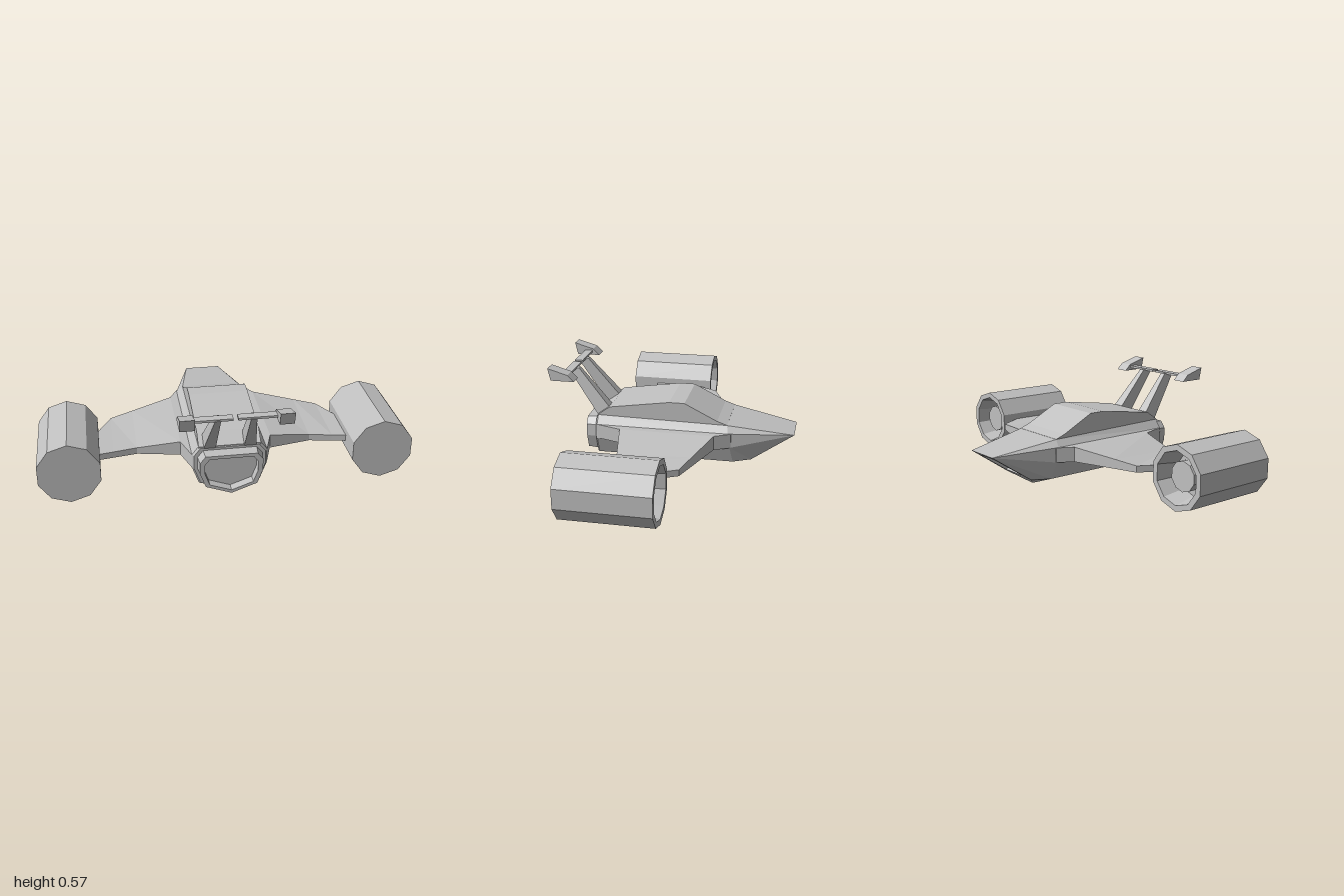
import * as THREE from 'three';

const hullGrey = new THREE.MeshStandardMaterial({ color: 0xc0c0c0 });
hullGrey.name = 'hull grey';
hullGrey.flatShading = true;

// Skins a list of rings; each ring runs counter-clockwise seen from the start.
function loft(rings, capStart = true, capEnd = true) {
  const pos = [];
  const tri = (a, b, c) => {
    const same = (p, q) => p.every((v, i) => v === q[i]);
    if (!same(a, b) && !same(b, c) && !same(a, c)) pos.push(...a, ...b, ...c);
  };
  for (let i = 0; i < rings.length - 1; i++) {
    const A = rings[i], B = rings[i + 1], n = A.length;
    for (let j = 0; j < n; j++) {
      const k = (j + 1) % n;
      tri(A[j], B[j], A[k]);
      tri(A[k], B[j], B[k]);
    }
  }
  const first = rings[0], last = rings[rings.length - 1];
  for (let j = 1; j < first.length - 1; j++) {
    if (capStart) tri(first[0], first[j], first[j + 1]);
    if (capEnd) tri(last[0], last[j + 1], last[j]);
  }
  const g = new THREE.BufferGeometry();
  g.setAttribute('position', new THREE.Float32BufferAttribute(pos, 3));
  g.computeVertexNormals();
  return g;
}

const flip = ([x, y, z]) => [-x, y, z];
const mirrorRings = (rings) => rings.map((r) => r.map(flip).reverse());

export function createModel() {
  const model = new THREE.Group();
  model.name = 'spacecraft';
  const add = (name, geometry) => {
    const m = new THREE.Mesh(geometry, hullGrey);
    m.name = name;
    model.add(m);
    return m;
  };
  const addPair = (name, rings) => {
    add('left' + name, loft(rings));
    add('right' + name, loft(mirrorRings(rings)));
  };

  // Hull: keel, chine, sides and deck edge, mirrored into a closed ring
  const full = (half) => [...half, ...half.slice(1).reverse().map(flip)];
  const section = [[0, 0], [0.165, 0.06], [0.2, 0.155], [0.2, 0.235], [0.165, 0.28]];
  const slice = (s, z) => full(section.map(([x, y]) => [x * s, 0.14 + (y - 0.14) * s, z]));
  const keel = [0, 0, -0.34], tip = [0.1, 0.215, -0.66], chin = [0.115, 0.06, -0.43];
  const shoulder = full([keel, [0.165, 0.06, -0.335], [0.2, 0.155, -0.32],
    [0.2, 0.235, -0.31], [0.165, 0.27, -0.3]]);
  const nose = full([keel, chin, tip, tip, tip]);
  add('hullWithExhaust', loft([
    slice(0.7, 0.44), slice(0.7, 0.49), slice(0.83, 0.49), slice(0.86, 0.43),
    slice(0.95, 0.43), slice(1, 0.42), shoulder, nose,
  ], true, false));

  // Recessed intake on the sloping underside of the nose
  const mouth = [chin, flip(chin), flip(tip), tip];
  const inset = (s, dy, dz) => mouth.map(([x, y, z]) =>
    [x * s, 0.1375 + (y - 0.1375) * s + dy, -0.545 + (z + 0.545) * s + dz]);
  add('noseIntake', loft([inset(0.72, 0.01, 0.07), inset(0.72, 0, 0), mouth].map((r) => r.slice().reverse()),
    false, false).scale(1, 1, 1));
  const floor = inset(0.72, 0.01, 0.07);
  add('noseIntakeFloor', loft([floor, floor], true, false));
  add('chinPlate', loft([[keel, flip(chin), chin], [keel, flip(chin), chin]], true, false));

  // Raised cabin: [z, roof height]
  const roof = [[0.425, 0.28], [0.355, 0.33], [0.02, 0.38], [-0.065, 0.38], [-0.245, 0.29], [-0.3, 0.271]];
  add('cabin', loft(roof.map(([z, y]) =>
    [[0.165, 0.22, z], [0.165, y, z], [-0.165, y, z], [-0.165, 0.22, z]])));

  // Wings: [x, front z, back z, front top, back top]
  const stations = [
    [0.19, -0.33, 0.42, 0.235, 0.235],
    [0.2, -0.325, 0.42, 0.235, 0.235],
    [0.245, -0.24, 0.28, 0.235, 0.235],
    [0.475, -0.162, 0.235, 0.206, 0.192],
    [0.6, -0.12, 0.256, 0.19, 0.19],
    [0.68, 0.03, 0.27, 0.19, 0.19],
  ];
  addPair('Wing', stations.map(([x, f, b, yf, yb]) =>
    [[x, 0.155, b], [x, yb, b], [x, yf, f], [x, 0.155, f]]));

  // Ten-sided engines: hub, recess, rim, casing and closed end
  const profile = [[0, -0.03], [0.08, -0.03], [0.08, 0.05], [0.115, 0.05], [0.14, -0.075],
    [0.171, -0.075], [0.171, 0.415], [0, 0.415]].map(([r, y]) => new THREE.Vector2(r, y));
  for (const s of [1, -1]) {
    const g = new THREE.LatheGeometry(profile, 10).rotateX(Math.PI / 2).toNonIndexed();
    g.computeVertexNormals();
    add(s > 0 ? 'leftEngine' : 'rightEngine', g).position.set(0.8375 * s, 0.172, 0);
  }

  // Tail: leaning posts, cross bars and end fins
  addPair('TailPost', [
    [[0.075, 0.31, 0.355], [0.14, 0.31, 0.355], [0.14, 0.265, 0.425], [0.075, 0.265, 0.425]],
    [[0.075, 0.525, 0.54], [0.105, 0.525, 0.54], [0.105, 0.525, 0.605], [0.075, 0.525, 0.605]],
  ]);
  addPair('TailBar', [0.012, 0.215].map((x) =>
    [[x, 0.52, 0.6], [x, 0.532, 0.6], [x, 0.532, 0.555], [x, 0.52, 0.555]]));
  addPair('TailFin', [0.21, 0.285].map((x) =>
    [[x, 0.505, 0.645], [x, 0.572, 0.66], [x, 0.54, 0.55], [x, 0.505, 0.515]]));

  // Thin intake and chin faces are seen from either side
  const openGrey = hullGrey.clone();
  openGrey.side = THREE.DoubleSide;
  openGrey.name = 'open panel grey';
  for (const name of ['noseIntake', 'noseIntakeFloor', 'chinPlate']) {
    model.getObjectByName(name).material = openGrey;
  }
  return model;
}
